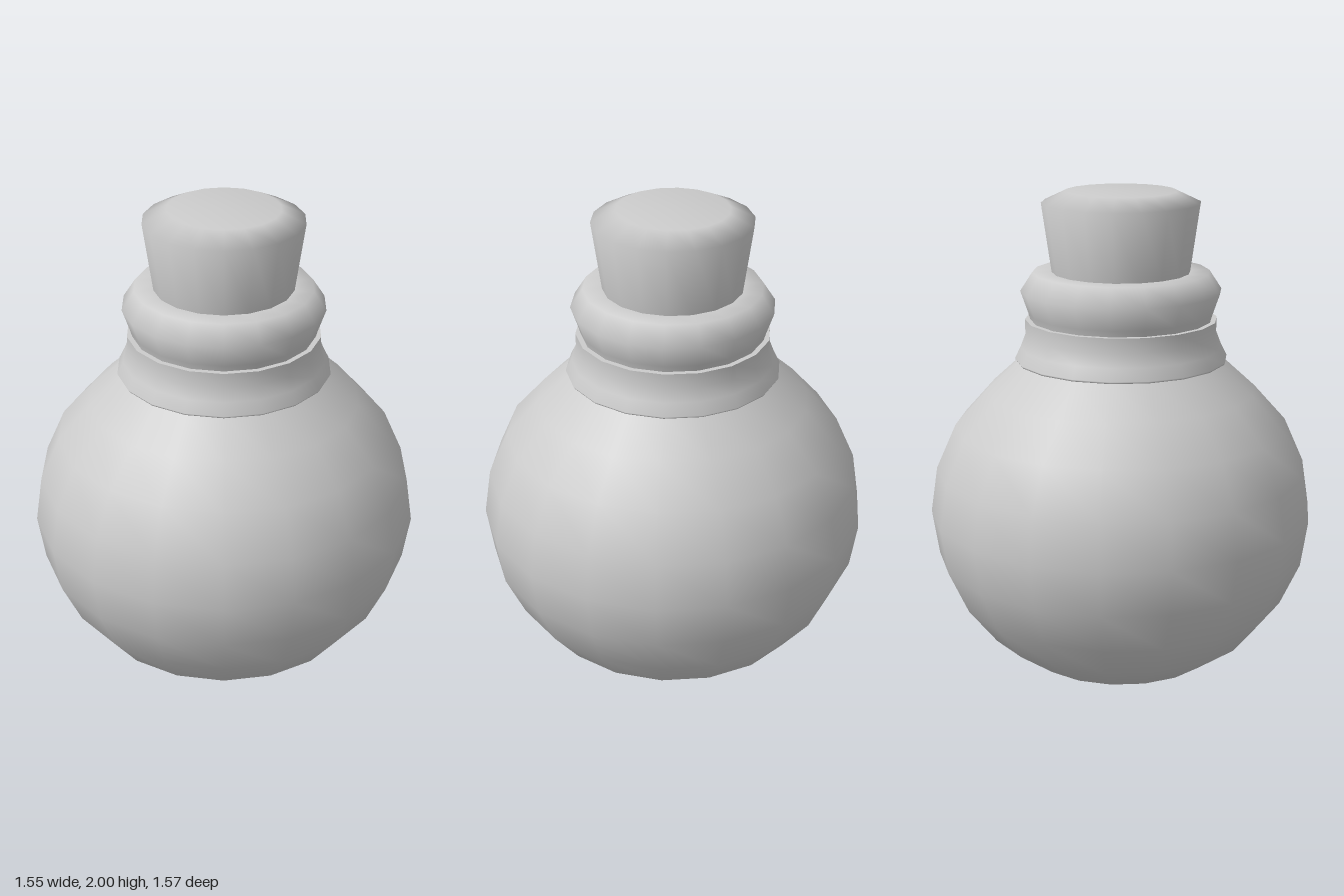
import * as THREE from 'three';

const SIDES = 18;

export function createModel() {
  const group = new THREE.Group();
  const material = new THREE.MeshStandardMaterial({ color: 0xcccccc, side: THREE.DoubleSide });

  // Each part is a smooth lathe of [radius, height] points, listed bottom to top
  const turn = (name, profile) => {
    const points = profile.map(([r, y]) => new THREE.Vector2(r, y));
    const mesh = new THREE.Mesh(new THREE.LatheGeometry(points, SIDES), material);
    mesh.name = name;
    group.add(mesh);
  };

  // Round flask with a flattened base, running up under the collar
  turn('flaskBody', [
    [0, 0], [0.204, 0.005], [0.392, 0.06], [0.559, 0.18], [0.677, 0.33],
    [0.757, 0.505], [0.785, 0.69], [0.757, 0.875], [0.677, 1.055],
    [0.547, 1.2], [0.41, 1.325],
  ]);

  // Flared collar at the foot of the neck
  turn('neckCollar', [
    [0.405, 1.32], [0.425, 1.322], [0.43, 1.33], [0.406, 1.378], [0.386, 1.43], [0.387, 1.49],
  ]);
  turn('collarTop', [[0.387, 1.49], [0.35, 1.49]]);

  // Bulging lip around the mouth
  turn('lipRing', [[0.366, 1.49], [0.373, 1.515], [0.404, 1.605], [0.355, 1.68], [0.27, 1.68]]);

  // Tapered stopper with a bevelled top
  turn('corkStopper', [[0.277, 1.675], [0.317, 1.955], [0.222, 2], [0, 2]]);

  return group;
}
